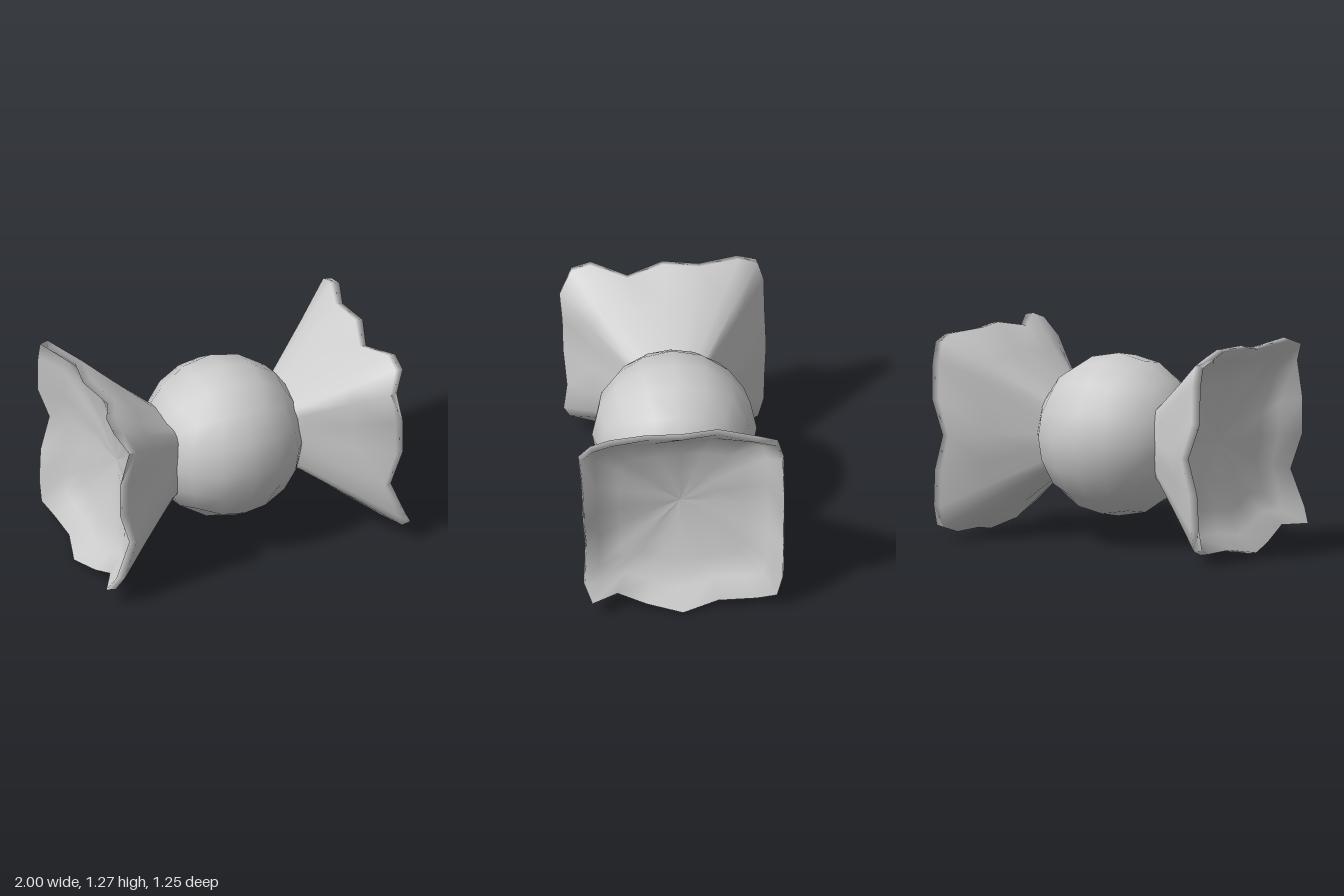
import * as THREE from 'three';

const CENTRE_Y = 0.66;

// Crinkled rim of a wrapper end: [distance from middle, y, z]
const RIM = [
  [0.88, 1.11, 0.63], [0.95, 1.23, 0.56], [0.95, 1.27, 0.44], [0.85, 1.23, 0.22],
  [0.92, 1.275, 0], [0.88, 1.275, -0.22], [0.96, 1.265, -0.46], [0.96, 1.23, -0.58],
  [0.96, 1.11, -0.615], [0.96, 0.88, -0.62], [0.88, 0.66, -0.625], [0.94, 0.44, -0.62],
  [0.95, 0.22, -0.615], [0.95, 0.09, -0.58], [0.92, 0.05, -0.46], [0.92, 0.045, -0.22],
  [0.98, 0.005, 0], [0.93, 0.045, 0.22], [0.91, 0.12, 0.4], [1.0, 0.115, 0.56],
  [0.95, 0.21, 0.6], [0.86, 0.44, 0.585], [0.93, 0.66, 0.605], [0.93, 0.88, 0.61],
];

// Rings of the skin: [size against rim, start x, blend from start x to rim x, roundness]
const RINGS = [
  [0.38, 0.37, 0, 0.5],     // neck, sunk into the ball
  [0.425, 0.425, 0, 0.3],
  [0.74, 0.42, 0.5, 0.1],
  [1.0, 0.42, 0.9, 0],      // rolled lip
  [0.985, 0.42, 1, 0],
  [0.84, 0.7, 0.5, 0],      // shallow dish inside
  [0.62, 0.7, 0.3, 0.1],
  [0.35, 0.7, 0.1, 0.3],
  [0.0, 0.7, 0, 0],
];

// Ball: a 4 x 4 cube grid pushed out to a sphere
function createBall(radius) {
  const geometry = new THREE.BoxGeometry(2, 2, 2, 4, 4, 4);
  const position = geometry.attributes.position;
  const v = new THREE.Vector3();
  for (let i = 0; i < position.count; i++) {
    v.fromBufferAttribute(position, i);
    v.set(...v.toArray().map((c) => Math.tan((c * Math.PI) / 4))).normalize();
    geometry.attributes.normal.setXYZ(i, v.x, v.y, v.z);
    position.setXYZ(i, v.x * radius, v.y * radius, v.z * radius);
  }
  return geometry;
}

// Wrapper end: rings lofted from the neck, over the lip and into the dish
function createWrapperEnd(side) {
  const positions = [];
  const indices = [];
  const n = RIM.length;
  for (const [size, startX, blend, roundness] of RINGS) {
    for (const [rimX, y, z] of RIM) {
      const dy = y - CENTRE_Y;
      const circle = 0.65 / Math.hypot(dy, z);
      const k = size * THREE.MathUtils.lerp(1, circle, roundness);
      positions.push(side * THREE.MathUtils.lerp(startX, rimX, blend), CENTRE_Y + dy * k, z * k);
    }
  }
  for (let j = 0; j < RINGS.length - 1; j++) {
    for (let i = 0; i < n; i++) {
      const a = j * n + i;
      const c = j * n + ((i + 1) % n);
      const b = a + n;
      const d = c + n;
      if (side > 0) indices.push(a, b, c, c, b, d);
      else indices.push(a, c, b, c, d, b);
    }
  }
  const geometry = new THREE.BufferGeometry();
  geometry.setAttribute('position', new THREE.Float32BufferAttribute(positions, 3));
  geometry.setIndex(indices);
  geometry.computeVertexNormals();
  return geometry;
}

export function createModel() {
  const group = new THREE.Group();
  group.name = 'wrappedSweet';
  const material = new THREE.MeshStandardMaterial({ color: 0xcccccc, side: THREE.DoubleSide });

  const ball = new THREE.Mesh(createBall(0.5), material);
  ball.name = 'ball';
  ball.position.set(0, CENTRE_Y, -0.012);
  group.add(ball);

  for (const [name, side] of [['leftWrapperEnd', 1], ['rightWrapperEnd', -1]]) {
    const end = new THREE.Mesh(createWrapperEnd(side), material);
    end.name = name;
    group.add(end);
  }
  return group;
}
